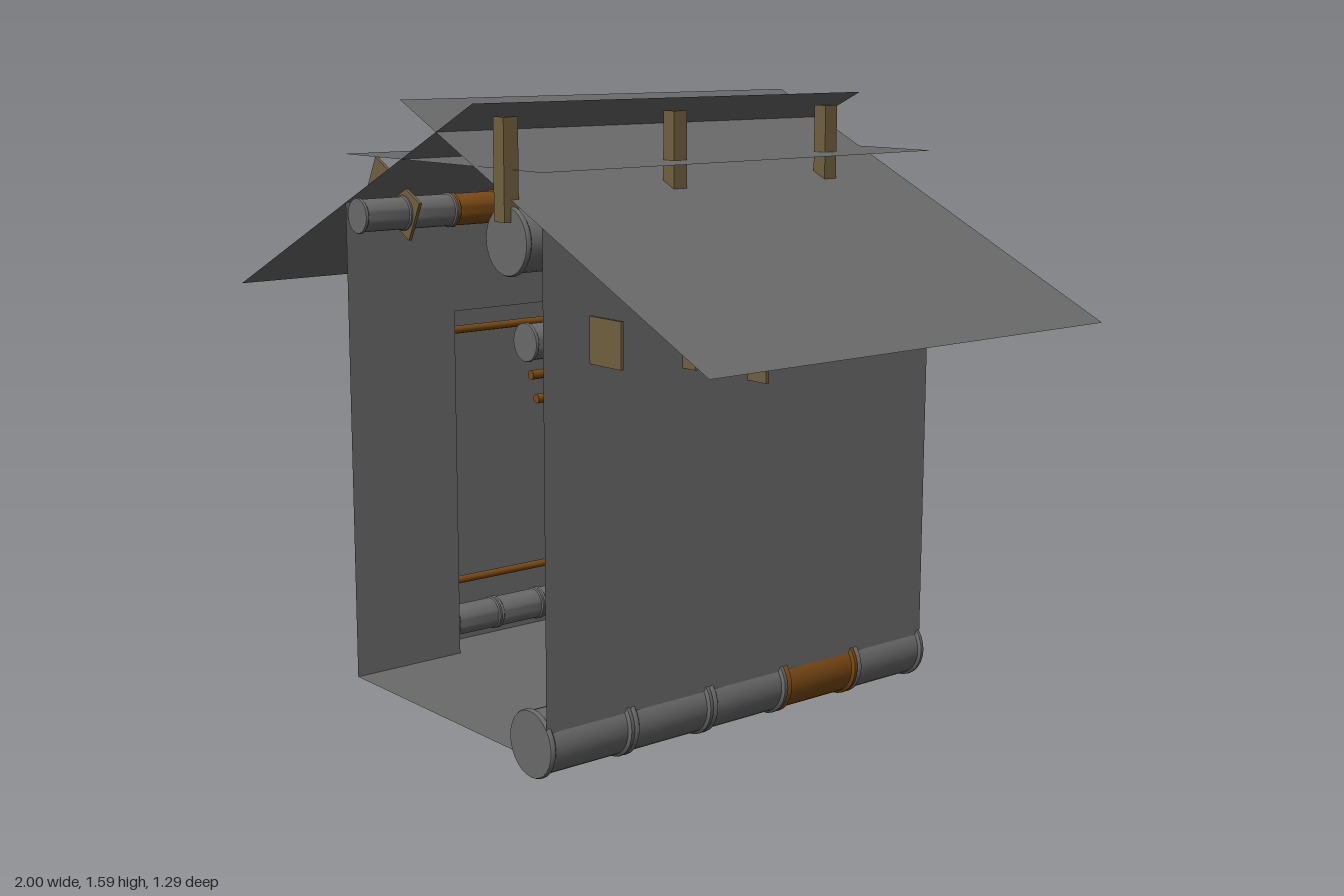
import * as THREE from 'three';
import { toCreasedNormals } from 'three/addons/utils/BufferGeometryUtils.js';

export function createModel() {
  const model = new THREE.Group();
  const panel = new THREE.MeshStandardMaterial({ color: 0x6a6a6a, side: THREE.DoubleSide });
  panel.name = 'grey panel';
  const steel = new THREE.MeshStandardMaterial({ color: 0x6a6a6a });
  steel.name = 'grey pipe';
  const copper = new THREE.MeshStandardMaterial({ color: 0x7a4a14 });
  copper.name = 'copper';
  const brass = new THREE.MeshStandardMaterial({ color: 0x72603f });
  brass.name = 'dull brass';

  const BACK = -0.643, FRONT = 0.626, WALL = 0.425, FLOOR = 0.05, EAVE = 1.055, RIDGE = 1.59;
  const ALCOVE_X = -0.533, ALCOVE_Z = 0.297, ALCOVE_TOP = 1.01;
  const WALL_TOP = 1.321;

  function add(name, geometry, material, x = 0, y = 0, z = 0) {
    const mesh = new THREE.Mesh(geometry, material);
    mesh.name = name;
    mesh.position.set(x, y, z);
    model.add(mesh);
    return mesh;
  }

  // Thin sheet swept along z between two points of the cross-section
  function sheet(name, x0, y0, x1, y1, z0 = BACK, z1 = FRONT) {
    const g = new THREE.BufferGeometry();
    g.setAttribute('position', new THREE.Float32BufferAttribute(
      [x0, y0, z0, x0, y0, z1, x1, y1, z1, x1, y1, z0], 3));
    g.setIndex([0, 1, 2, 0, 2, 3]);
    g.computeVertexNormals();
    return add(name, g, panel);
  }

  // Corridor shell
  sheet('floor', -WALL, FLOOR, WALL, FLOOR);
  sheet('ceiling', -WALL, 1.445, WALL, 1.445);
  sheet('leftWall', WALL, FLOOR, WALL, WALL_TOP);
  sheet('rightWallBack', -WALL, FLOOR, -WALL, WALL_TOP, BACK, -ALCOVE_Z);
  sheet('rightWallFront', -WALL, FLOOR, -WALL, WALL_TOP, ALCOVE_Z, FRONT);
  sheet('rightWallOverAlcove', -WALL, ALCOVE_TOP, -WALL, WALL_TOP, -ALCOVE_Z, ALCOVE_Z);

  // Two crossing roof slopes
  for (const s of [-1, 1]) sheet(s < 0 ? 'rightRoof' : 'leftRoof', s, EAVE, -s * 0.156, RIDGE);

  // Alcove pushed out of the wall
  sheet('alcoveBack', ALCOVE_X, FLOOR, ALCOVE_X, ALCOVE_TOP, -ALCOVE_Z, ALCOVE_Z);
  for (const y of [FLOOR, ALCOVE_TOP])
    sheet(y === FLOOR ? 'alcoveFloor' : 'alcoveCeiling', ALCOVE_X, y, -WALL, y, -ALCOVE_Z, ALCOVE_Z);
  for (const s of [-1, 1])
    add('alcoveSide', new THREE.PlaneGeometry(-WALL - ALCOVE_X, ALCOVE_TOP - FLOOR), panel,
      (ALCOVE_X - WALL) / 2, (FLOOR + ALCOVE_TOP) / 2, s * ALCOVE_Z);

  // Pipe made of flanged segments, some of them copper, counted from the back
  function pipe(name, x, y, r, z0, z1, count, copperSegments = []) {
    const len = (z1 - z0) / count, f = r * 0.14, b = r * 0.92;
    const profile = [[0, 0], [r * 0.97, 0], [r, f * 0.4], [r, f], [b, f * 1.5],
      [b, len - f * 1.5], [r, len - f], [r, len - f * 0.4], [r * 0.97, len], [0, len]]
      .map(([px, py]) => new THREE.Vector2(px, py));
    const g = toCreasedNormals(new THREE.LatheGeometry(profile, 28), 0.5);
    g.rotateX(Math.PI / 2);
    for (let i = 0; i < count; i++)
      add(name, g, copperSegments.includes(i) ? copper : steel, x, y, z0 + i * len);
  }
  pipe('lowerMainPipe', 0.36, 0.085, 0.085, BACK, FRONT, 5, [1]);
  pipe('upperMainPipe', 0.285, 1.28, 0.083, BACK, FRONT, 5);
  pipe('leftSmallPipe', 0.355, 1.053, 0.046, BACK, FRONT, 9, [5]);
  pipe('rightSmallPipe', -0.37, 1.29, 0.046, BACK, FRONT, 9, [0, 3, 4, 6]);
  pipe('alcovePipe', -0.475, 0.13, 0.046, -ALCOVE_Z, ALCOVE_Z, 4);

  // Thin copper conduits
  function conduit(name, x, y, z0, z1) {
    const g = new THREE.CylinderGeometry(0.011, 0.011, z1 - z0, 10);
    g.rotateX(Math.PI / 2);
    add(name, g, copper, x, y, (z0 + z1) / 2);
  }
  for (const y of [0.235, 0.945]) conduit('alcoveConduit', -0.503, y, -ALCOVE_Z, ALCOVE_Z);
  conduit('upperConduit', 0.376, 0.98, BACK, FRONT);
  conduit('lowerConduit', 0.397, 0.928, BACK, FRONT);

  // Flat pipe brackets
  function bracket(name, x, y, w, h, zs, angle = 0) {
    for (const z of zs)
      add(name, new THREE.BoxGeometry(w, h, 0.009), brass, x, y, z).rotation.z = angle;
  }
  bracket('tiltedBracket', -0.425, 1.324, 0.234, 0.112, [-0.508, 0.482], -0.485);
  bracket('pipeBracket', 0.423, 1.054, 0.235, 0.112, [-0.5, 0.488]);
  bracket('upperConduitBracket', 0.416, 0.978, 0.11, 0.04, [-0.432, 0.206]);
  bracket('lowerConduitBracket', 0.437, 0.925, 0.11, 0.04, [-0.005]);

  // Hangers of the upper main pipe
  for (const z of [-0.39, 0.119, 0.624])
    add('pipeHanger', new THREE.BoxGeometry(0.041, 0.24, 0.041), brass, 0.285, 1.445, z);

  return model;
}
